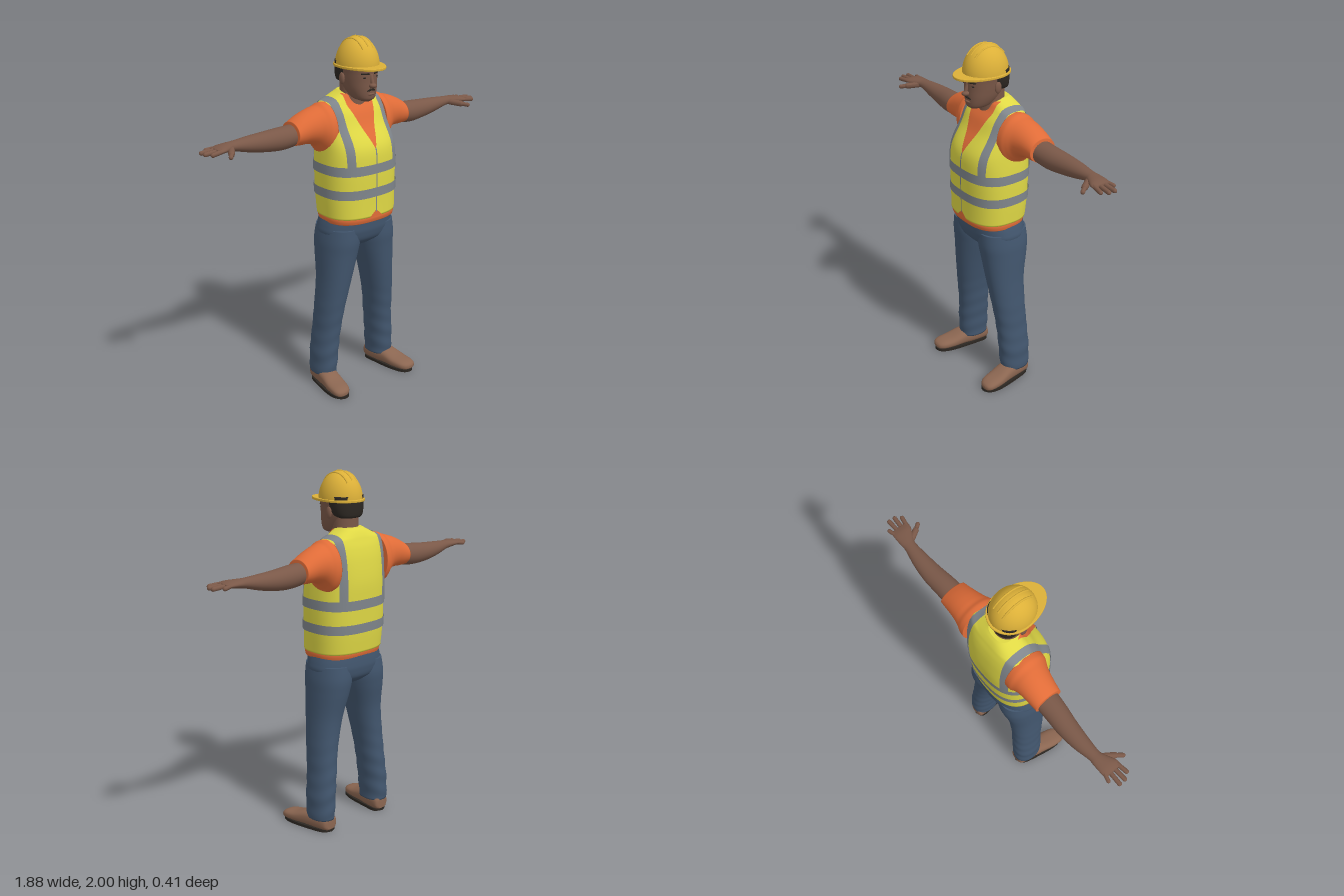
import * as THREE from 'three';

const mat = (name, color, side = THREE.FrontSide) =>
  Object.assign(new THREE.MeshStandardMaterial({ color, side }), { name });

// Smooth interpolation between cross-sections [position, centreA, centreB, radiusA, radiusB]
function sample(rows, t) {
  const last = rows.length - 1, i = Math.min(Math.floor(t), last - 1), f = t - i;
  const [a, b, c, d] = [-1, 0, 1, 2].map(k => rows[Math.min(Math.max(i + k, 0), last)]);
  return b.map((_, k) => b[k] + 0.5 * f * (c[k] - a[k] + f * (2 * a[k] - 5 * b[k] + 4 * c[k] - d[k]
    + f * (3 * (b[k] - c[k]) + d[k] - a[k]))));
}

// Skin over superelliptic sections stacked along one axis
function loft(rows, { axis = 'y', n = 2, segs = 32, sub = 6, cap = true, ripple = () => 0 } = {}) {
  const pos = [], idx = [], rings = (rows.length - 1) * sub + 1;
  const put = (p, a, b) => pos.push(...(axis === 'y' ? [a, p, b] : axis === 'x' ? [p, a, b] : [a, b, p]));
  const pw = v => Math.sign(v) * Math.abs(v) ** (2 / n);
  for (let i = 0; i < rings; i++) {
    const [p, ca, cb, ra, rb] = sample(rows, i / sub);
    for (let j = 0; j < segs; j++) {
      const w = j / segs * Math.PI * 2, k = 1 + ripple(p, w);
      const s = pw(Math.sin(w)), c = pw(Math.cos(w));
      put(p, ca + ra * k * (axis === 'y' ? s : c), cb + rb * k * (axis === 'y' ? c : s));
    }
  }
  for (let i = 0; i < rings - 1; i++) for (let j = 0; j < segs; j++) {
    const a = i * segs + j, b = i * segs + (j + 1) % segs;
    idx.push(a, b, b + segs, a, b + segs, a + segs);
  }
  if (cap) for (const end of [0, rings - 1]) {
    const r = sample(rows, end / sub), m = pos.length / 3;
    put(r[0], r[1], r[2]);
    for (let j = 0; j < segs; j++) {
      const a = end * segs + j, b = end * segs + (j + 1) % segs;
      end ? idx.push(a, b, m) : idx.push(b, a, m);
    }
  }
  return build(pos, idx);
}

function build(pos, idx) {
  const g = new THREE.BufferGeometry();
  g.setAttribute('position', new THREE.Float32BufferAttribute(pos, 3));
  g.setIndex(idx);
  g.computeVertexNormals();
  return g;
}

function mirrored(geo) {
  const g = geo.clone().scale(-1, 1, 1);
  const ix = g.index ? Array.from(g.index.array) : Array.from({ length: g.attributes.position.count }, (_, i) => i);
  for (let i = 0; i < ix.length; i += 3) [ix[i], ix[i + 1]] = [ix[i + 1], ix[i]];
  g.setIndex(ix);
  g.computeVertexNormals();
  return g;
}

const ball = (x, y, z, rx, ry, rz) => new THREE.SphereGeometry(1, 20, 14).scale(rx, ry, rz).translate(x, y, z);

// Rounded rod between two points
function rod(a, b, r) {
  const A = new THREE.Vector3(...a), B = new THREE.Vector3(...b), d = B.clone().sub(A);
  const q = new THREE.Quaternion().setFromUnitVectors(new THREE.Vector3(0, 1, 0), d.clone().normalize());
  const m = A.add(B).multiplyScalar(0.5);
  return new THREE.CapsuleGeometry(r, d.length(), 5, 10).applyQuaternion(q).translate(m.x, m.y, m.z);
}

// Torso sections, also used to fit the stripes and shirt opening
const TORSO_N = 2.6;
const TORSO = [
  [1.03, 0, -0.01, 0.217, 0.172], [1.15, 0, -0.016, 0.222, 0.178], [1.3, 0, -0.018, 0.222, 0.182],
  [1.42, 0, -0.025, 0.215, 0.178], [1.53, 0, -0.052, 0.207, 0.14], [1.6, 0, -0.062, 0.2, 0.115],
  [1.645, 0, -0.07, 0.185, 0.09], [1.667, 0, -0.07, 0.14, 0.08], [1.69, 0, -0.065, 0.095, 0.07],
  [1.705, 0, -0.06, 0.07, 0.06]];

function bisect(lo, hi, tooLow) {
  for (let i = 0; i < 30; i++) { const m = (lo + hi) / 2; tooLow(m) ? lo = m : hi = m; }
  return lo;
}
function torsoAt(y, e) {
  const t = bisect(0, TORSO.length - 1, v => sample(TORSO, v)[0] < y);
  const [, , cz, rx, rz] = sample(TORSO, t);
  return [y, 0, cz, rx + e, rz + e];
}
const shoulderY = (x, e) => bisect(1.5, 1.705, y => torsoAt(y, e)[3] > x);

// Thin sheet lying on the torso; f(u, v) gives x and y, face is 1 for front and -1 for back
function patch(f, face, e, nu = 6, nv = 24) {
  const pos = [], idx = [];
  for (let j = 0; j <= nv; j++) for (let i = 0; i <= nu; i++) {
    const [x, y] = f(i / nu, j / nv), [, , cz, rx, rz] = torsoAt(y, e);
    const k = Math.max(0, 1 - Math.abs(x / rx) ** TORSO_N) ** (1 / TORSO_N);
    pos.push(x, y, cz + face * rz * k);
    if (i < nu && j < nv) {
      const a = j * (nu + 1) + i, c = a + nu + 1;
      face > 0 ? idx.push(a, a + 1, c + 1, a, c + 1, c) : idx.push(a, c + 1, a + 1, a, c, c + 1);
    }
  }
  return build(pos, idx);
}

export function createModel() {
  const model = new THREE.Group();
  model.name = 'constructionWorker';
  const skin = mat('skin', 0x7a5848), lime = mat('vestLime', 0xdfd845), orange = mat('shirtOrange', 0xe06c38, THREE.DoubleSide);
  const grey = mat('reflectiveGrey', 0x80868c, THREE.DoubleSide), denim = mat('denim', 0x42566e);
  const yellow = mat('helmetYellow', 0xdcb038), leather = mat('shoeBrown', 0x8b6651), dark = mat('darkHair', 0x2c2722);
  const add = (name, geo, m) => {
    const mesh = new THREE.Mesh(geo, m);
    mesh.name = name;
    model.add(mesh);
  };
  const pair = (name, geo, m) => {
    add(name + 'Left', geo, m);
    add(name + 'Right', mirrored(geo), m);
  };

  // Vest with reflective bands, shoulder stripes and zip
  add('vest', loft(TORSO, { n: TORSO_N, segs: 72, sub: 8 }), lime);
  for (const [lo, hi] of [[1.145, 1.197], [1.277, 1.33]]) {
    const rows = [0, 0.5, 1].map(k => torsoAt(lo + (hi - lo) * k, 0.005));
    add('waistBand', loft(rows, { n: TORSO_N, segs: 72, sub: 2, cap: false }), grey);
  }
  for (const face of [1, -1]) {
    pair(face > 0 ? 'frontStripe' : 'backStripe', patch((u, v) => {
      const x = 0.128 + 0.042 * u;
      return [x, 1.31 + (shoulderY(x, 0.005) - 1.31) * (1 - (1 - v) ** 2)];
    }, face, 0.005, 4, 32), grey);
  }
  add('zip', patch((u, v) => [(u - 0.5) * 0.008, 1.06 + 0.36 * v], 1, 0.007, 1), grey);

  // Shirt: neck opening, hem and sleeves
  add('shirtNeck', patch((u, v) => {
    const y = 1.41 + 0.285 * v;
    return [(u * 2 - 1) * Math.min(0.088 * v / 0.8, 0.088), y];
  }, 1, 0.005, 12, 32), orange);
  add('hemNotch', patch((u, v) => [(u - 0.5) * 0.09 * (1 - v), 1.031 + 0.04 * v], 1, 0.005, 4, 6), orange);
  add('shirtHem', loft([[0.998, 0, -0.008, 0.211, 0.16], [1.02, 0, -0.008, 0.214, 0.166], [1.045, 0, -0.01, 0.21, 0.165]],
    { n: TORSO_N, segs: 48 }), orange);
  pair('sleeve', loft([
    [0.17, 1.51, -0.065, 0.145, 0.122], [0.2, 1.512, -0.066, 0.142, 0.12], [0.225, 1.522, -0.068, 0.12, 0.11],
    [0.255, 1.533, -0.073, 0.101, 0.099], [0.3, 1.532, -0.077, 0.087, 0.09], [0.345, 1.522, -0.079, 0.077, 0.084],
    [0.385, 1.512, -0.08, 0.064, 0.08]], { axis: 'x' }), orange);

  // Arms, palms, fingers and thumbs
  pair('arm', loft([
    [0.34, 1.508, -0.08, 0.056, 0.066], [0.45, 1.498, -0.084, 0.061, 0.062], [0.55, 1.497, -0.092, 0.054, 0.056],
    [0.65, 1.503, -0.093, 0.042, 0.046], [0.74, 1.512, -0.088, 0.027, 0.034], [0.78, 1.515, -0.082, 0.023, 0.041],
    [0.83, 1.516, -0.07, 0.019, 0.053], [0.865, 1.513, -0.067, 0.012, 0.052]], { axis: 'x' }), skin);
  for (const [z0, x1, z1, r] of [[-0.107, 0.885, -0.118, 0.011], [-0.083, 0.93, -0.085, 0.012],
    [-0.057, 0.928, -0.05, 0.012], [-0.03, 0.905, -0.018, 0.012]])
    pair('finger', rod([0.84, 1.515, z0], [x1, 1.51, z1], r), skin);
  pair('thumb', rod([0.77, 1.507, -0.06], [0.805, 1.5, -0.005], 0.017), skin);
  pair('thumbTip', rod([0.805, 1.5, -0.005], [0.83, 1.495, 0.028], 0.012), skin);

  // Jeans with soft creases towards the ankle
  add('jeansHips', loft([
    [0.84, 0, -0.025, 0.1, 0.08], [0.88, 0, -0.025, 0.2, 0.132], [0.93, 0, -0.023, 0.226, 0.15],
    [0.97, 0, -0.021, 0.222, 0.153], [1.015, 0, -0.018, 0.209, 0.152]], { n: 2.4, segs: 48 }), denim);
  pair('jeansLeg', loft([
    [0.07, 0.21, -0.052, 0.066, 0.088], [0.2, 0.205, -0.048, 0.07, 0.092], [0.33, 0.192, -0.042, 0.07, 0.093],
    [0.47, 0.178, -0.03, 0.075, 0.098], [0.65, 0.152, -0.02, 0.088, 0.112], [0.8, 0.13, -0.025, 0.106, 0.134],
    [0.88, 0.121, -0.025, 0.112, 0.144], [0.96, 0.115, -0.022, 0.106, 0.14]], {
    n: 2.2, sub: 10,
    ripple: (y, w) => 0.03 * Math.max(0, 0.6 - y) * Math.sin(y * 62 + 2 * Math.sin(w)) * 1.8
  }), denim);

  // Shoes with dark soles, toes turned slightly out
  pair('shoe', loft([
    [-0.134, 0.205, 0.045, 0.03, 0.03], [-0.115, 0.206, 0.05, 0.05, 0.045], [-0.03, 0.216, 0.053, 0.056, 0.05],
    [0.03, 0.226, 0.05, 0.057, 0.044], [0.1, 0.237, 0.039, 0.059, 0.032], [0.16, 0.246, 0.034, 0.053, 0.026],
    [0.188, 0.25, 0.03, 0.037, 0.019], [0.198, 0.251, 0.028, 0.014, 0.008]], { axis: 'z', n: 2.5 }), leather);
  const sole = new THREE.Shape(new THREE.SplineCurve([
    [0.205, 0.136], [0.16, 0.11], [0.162, 0.03], [0.177, -0.1], [0.205, -0.18], [0.25, -0.2],
    [0.287, -0.17], [0.296, -0.1], [0.274, 0.03], [0.25, 0.11], [0.205, 0.136]].map(p => new THREE.Vector2(...p))).getPoints(48));
  pair('sole', new THREE.ExtrudeGeometry(sole, { depth: 0.016, bevelEnabled: false }).rotateX(-Math.PI / 2), dark);

  // Neck, head and face
  add('neck', loft([[1.62, 0, -0.04, 0.085, 0.075], [1.68, 0, -0.035, 0.074, 0.068], [1.78, 0, -0.03, 0.074, 0.072]]), skin);
  add('head', loft([
    [1.662, 0, 0.066, 0.025, 0.035], [1.675, 0, 0.054, 0.052, 0.063], [1.695, 0, 0.042, 0.067, 0.08],
    [1.73, 0, 0.024, 0.08, 0.1], [1.77, 0, 0.012, 0.087, 0.112], [1.81, 0, 0.008, 0.091, 0.117],
    [1.86, 0, 0.006, 0.095, 0.118], [1.91, 0, 0.004, 0.08, 0.1]], { n: 2.2 }), skin);
  add('hair', loft([
    [1.755, 0, -0.065, 0.066, 0.042], [1.77, 0, -0.052, 0.086, 0.062], [1.81, 0, -0.04, 0.098, 0.076],
    [1.87, 0, -0.035, 0.101, 0.08]], { n: 2.3 }), dark);
  add('nose', ball(0, 1.752, 0.13, 0.02, 0.014, 0.024), skin);
  add('noseBridge', rod([0, 1.757, 0.133], [0, 1.805, 0.119], 0.01), skin);
  add('lowerLip', ball(0, 1.705, 0.118, 0.024, 0.007, 0.012), skin);
  pair('moustache', rod([0.004, 1.731, 0.126], [0.03, 1.721, 0.111], 0.006), dark);
  pair('eye', ball(0.037, 1.795, 0.113, 0.013, 0.005, 0.005), dark);
  pair('eyebrow', rod([0.02, 1.815, 0.123], [0.053, 1.816, 0.107], 0.005), dark);
  pair('ear', ball(0.097, 1.782, -0.006, 0.011, 0.032, 0.02), skin);

  // Hard hat: shell, brim with visor, raised ribs
  const RX = 0.112, RY = 0.152, RZ = 0.128, BASE = 1.845, CZ = 0.005;
  add('helmetShell', new THREE.SphereGeometry(1, 40, 16, 0, Math.PI * 2, 0, Math.PI / 2)
    .scale(RX, RY, RZ).translate(0, BASE, CZ), yellow);
  const brim = new THREE.Shape(Array.from({ length: 56 }, (_, i) => {
    const a = i / 56 * Math.PI * 2, s = Math.sin(a);
    return new THREE.Vector2(0.116 * Math.cos(a), s > 0 ? 0.131 * s : 0.193 * s);
  }));
  add('helmetBrim', new THREE.ExtrudeGeometry(brim, { depth: 0.008, bevelSize: 0.003, bevelThickness: 0.003, bevelSegments: 2 })
    .rotateX(-Math.PI / 2).translate(0, 1.842, 0), yellow);
  for (const x of [-0.035, 0, 0.035]) {
    const path = new THREE.CatmullRomCurve3(Array.from({ length: 9 }, (_, i) => {
      const z = 0.09 - 0.18 * i / 8;
      return new THREE.Vector3(x, BASE - 0.002 + RY * Math.sqrt(1 - (x / RX) ** 2 - (z / RZ) ** 2), z + CZ);
    }));
    add('helmetRib', new THREE.TubeGeometry(path, 24, 0.006, 8), yellow);
  }
  return model;
}
